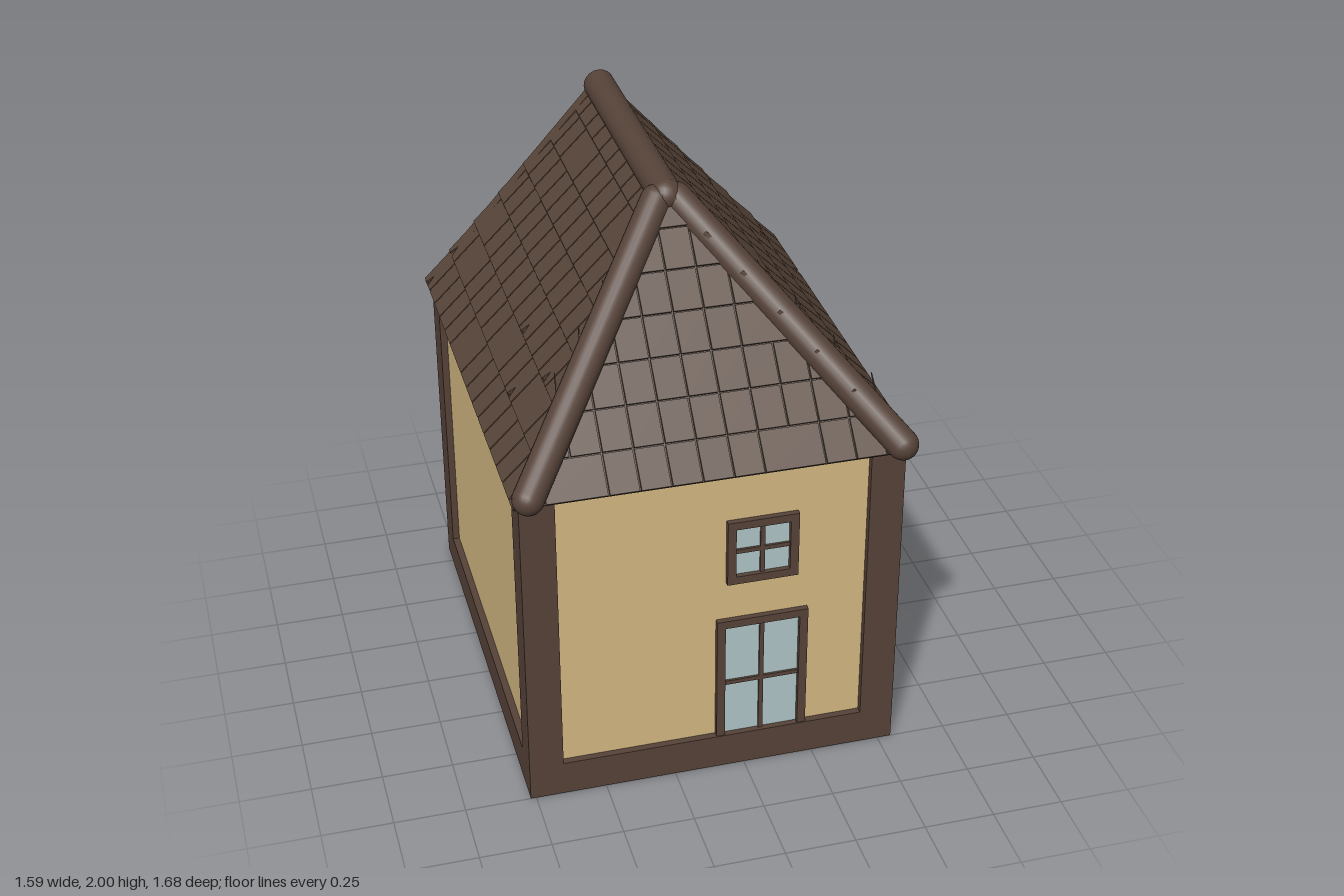
import * as THREE from 'three';
import { mergeGeometries } from 'three/addons/utils/BufferGeometryUtils.js';

const mat = (color) => new THREE.MeshStandardMaterial({ color });
const timber = mat(0x564339), roofMat = mat(0x574438), plaster = mat(0xd4b983);
const glassMat = mat(0xb0c6c8), doorMat = mat(0x3f300f), stepMat = mat(0x735724);
roofMat.side = THREE.DoubleSide;

function add(parent, name, geometry, material) {
  const mesh = new THREE.Mesh(geometry, material);
  mesh.name = name;
  parent.add(mesh);
  return mesh;
}

// Box given by its limits on each axis
function box(parent, name, material, [x0, x1], [y0, y1], [z0, z1]) {
  const mesh = add(parent, name, new THREE.BoxGeometry(x1 - x0, y1 - y0, z1 - z0), material);
  mesh.position.set((x0 + x1) / 2, (y0 + y1) / 2, (z0 + z1) / 2);
  return mesh;
}

const polygon = (pts) => new THREE.Shape(pts.map(([x, y]) => new THREE.Vector2(x, y)));
const extrude = (shape, depth) => new THREE.ExtrudeGeometry(shape, { depth, bevelEnabled: false });
const rect = (x0, x1, y0, y1) => polygon([[x0, y0], [x1, y0], [x1, y1], [x0, y1]]);

// Small repeatable number source
function seeded(seed) {
  return () => (seed = (seed * 16807) % 2147483647) / 2147483647;
}

// Window facing +z, standing on y = 0, with a frame, glass and crossed bars
function makeWindow(name, w, h, border, bottom, barY) {
  const g = new THREE.Group();
  g.name = name;
  const frame = rect(-w / 2, w / 2, 0, h);
  frame.holes.push(rect(-w / 2 + border, w / 2 - border, bottom, h - border));
  add(g, 'windowFrame', extrude(frame, 0.033), timber);
  box(g, 'glass', glassMat, [-w / 2 + border, w / 2 - border], [bottom, h - border], [0, 0.015]);
  box(g, 'uprightBar', timber, [-0.008, 0.008], [bottom, h - border], [0, 0.023]);
  box(g, 'crossBar', timber, [-w / 2 + border, w / 2 - border], [barY - 0.008, barY + 0.008], [0, 0.023]);
  return g;
}

// Door facing +z with a raised surround and four panels
function makeDoor() {
  const g = new THREE.Group();
  g.name = 'door';
  const w = 0.375, h = 0.515;
  const surround = rect(-w / 2, w / 2, 0, h);
  surround.holes.push(rect(-w / 2 + 0.03, w / 2 - 0.03, 0, h - 0.03));
  add(g, 'doorSurround', extrude(surround, 0.037), doorMat);
  const leaf = rect(-w / 2 + 0.03, w / 2 - 0.03, 0, h - 0.03);
  for (const x of [-0.075, 0.075]) {
    for (const [y0, y1] of [[0.045, 0.185], [0.285, 0.425]]) {
      leaf.holes.push(rect(x - 0.046, x + 0.046, y0, y1));
      box(g, 'doorPanel', doorMat, [x - 0.04, x + 0.04], [y0 + 0.006, y1 - 0.006], [0.01, 0.025]);
    }
  }
  add(g, 'doorLeaf', extrude(leaf, 0.028), doorMat);
  box(g, 'doorBacking', doorMat, [-0.15, 0.15], [0, 0.48], [0, 0.015]);
  return g;
}

// Tiled slope: u runs along the eave, v up the slope, w outwards.
// left(v) and right(v) give the ends of the slope at height v.
function makeSlope(name, origin, uDir, vDir, length, left, right, seed) {
  const rnd = seeded(seed), tiles = [], rows = 7, pitch = 0.105, gap = 0.003;
  const width = right(0), step = length / rows;
  for (let r = 0; r < rows; r++) {
    const v0 = r * step, v1 = v0 + step - 0.004;
    for (let u = 0; u < width - 0.001;) {
      const end = Math.min(u + pitch * (rnd() < 0.88 ? 1 : 2), width);
      const a = u + gap, b = end - gap;
      const a0 = Math.max(a, left(v0)), b0 = Math.min(b, right(v0));
      u = end;
      if (b0 - a0 < 0.005) continue;
      const a1 = Math.min(Math.max(a, left(v1)), b0), b1 = Math.max(Math.min(b, right(v1)), a0);
      const pts = [[a0, v0]];
      // An occasional chip in the lower edge
      if (rnd() < 0.06 && b0 - a0 > 0.08) {
        const m = a0 + (b0 - a0) * (0.35 + 0.3 * rnd());
        pts.push([m - 0.016, v0], [m, v0 + 0.04], [m + 0.016, v0]);
      }
      pts.push([b0, v0]);
      if (b1 > a1) pts.push([b1, v1], [a1, v1]);
      else pts.push([(a1 + b1) / 2, v1]);
      const geo = extrude(polygon(pts), 0.014);
      // Tilt each tile so its lower edge stands proud of the row beneath
      const p = geo.attributes.position;
      for (let i = 0; i < p.count; i++) {
        p.setZ(i, p.getZ(i) - 0.016 + 0.007 * (1 - (p.getY(i) - v0) / step));
      }
      geo.computeVertexNormals();
      tiles.push(geo);
    }
  }
  const g = new THREE.Group();
  g.name = name;
  add(g, 'roofTiles', mergeGeometries(tiles), roofMat);
  const deck = polygon([[0, 0], [width, 0], [right(length), length], [left(length), length]]);
  add(g, 'roofDeck', extrude(deck, 0.01), roofMat).position.z = -0.02;
  g.matrix.makeBasis(uDir, vDir, uDir.clone().cross(vDir)).setPosition(origin);
  g.matrix.decompose(g.position, g.quaternion, g.scale);
  return g;
}

// Rounded pole between two points
function pole(parent, name, a, b, radius) {
  const dir = b.clone().sub(a);
  const mesh = add(parent, name, new THREE.CapsuleGeometry(radius, dir.length(), 8, 20), timber);
  mesh.position.copy(a).add(b).multiplyScalar(0.5);
  mesh.quaternion.setFromUnitVectors(new THREE.Vector3(0, 1, 0), dir.normalize());
}

export function createModel() {
  const house = new THREE.Group();
  house.name = 'house';
  const V = (x, y, z) => new THREE.Vector3(x, y, z);
  const cx = -0.11;

  // Plaster walls and the rear wall with its gable
  box(house, 'walls', plaster, [-0.745, 0.525], [0.01, 1.22], [-0.745, 0.725]);
  const gable = polygon([[-0.765, 0.005], [0.545, 0.005], [0.545, 1.23], [cx, 1.955], [-0.765, 1.23]]);
  add(house, 'rearWall', extrude(gable, 0.012), plaster).position.z = -0.755;

  // Timber frame, the same on both sides
  for (const s of [-1, 1]) {
    const span = (inner, outer) => [cx + s * inner, cx + s * outer].sort((a, b) => a - b);
    box(house, 'frontPost', timber, span(0.54, 0.66), [0, 1.23], [0.63, 0.75]);
    box(house, 'rearPost', timber, span(0.654, 0.66), [0, 1.23], [-0.84, -0.745]);
    box(house, 'rearPostInner', timber, span(0.6, 0.66), [0, 1.23], [-0.745, -0.71]);
    box(house, 'sideSill', timber, span(0.54, 0.66), [0, 0.13], [-0.745, 0.63]);
    box(house, 'sideTopBeam', timber, span(0.6, 0.66), [1.16, 1.23], [-0.745, 0.63]);
    box(house, 'eaveBoard', timber, span(0.655, 0.68), [1.22, 1.232], [-0.84, 0.78]);
  }
  box(house, 'frontSill', timber, [-0.65, 0.43], [0, 0.13], [0.63, 0.75]);
  box(house, 'floorBeam', timber, [-0.65, 0.43], [0, 0.1], [0, 0.1]);
  // Eave bracket behind the rear wall
  box(house, 'eaveBracket', timber, [-0.765, -0.66], [1.165, 1.18], [-0.84, -0.815]);
  box(house, 'eaveBracketTip', timber, [-0.672, -0.66], [1.165, 1.24], [-0.84, -0.815]);

  // Windows and door
  const frontWindow = makeWindow('frontWindow', 0.25, 0.25, 0.03, 0.03, 0.125);
  frontWindow.position.set(0.06, 0.77, 0.713);
  const tallWindow = makeWindow('tallWindow', 0.325, 0.49, 0.03, 0, 0.22);
  tallWindow.position.set(0.063, 0.13, 0.713);
  const sideWindow = makeWindow('sideWindow', 0.25, 0.25, 0.03, 0.03, 0.125);
  sideWindow.position.set(0.515, 0.77, -0.315);
  const door = makeDoor();
  door.position.set(0.513, 0.13, -0.285);
  sideWindow.rotation.y = door.rotation.y = Math.PI / 2;
  house.add(frontWindow, tallWindow, sideWindow, door);

  // Steps up to the door
  const stairs = polygon([[0.54, 0], [0.79, 0], [0.79, 0.045], [0.715, 0.045], [0.715, 0.09],
    [0.635, 0.09], [0.635, 0.135], [0.54, 0.135]]);
  add(house, 'doorSteps', extrude(stairs, 0.43), stepMat).position.z = -0.5;

  // Hipped roof: two long sides and the front slope
  const half = 0.683, eave = 1.232, rise = 0.745, hip = 0.67, depth = 1.63;
  const sideLen = Math.hypot(half, rise), frontLen = Math.hypot(hip, rise);
  house.add(
    makeSlope('leftRoof', V(cx + half, eave, 0.79), V(0, 0, -1), V(-half, rise, 0).normalize(),
      sideLen, (v) => hip * v / sideLen, () => depth, 11),
    makeSlope('rightRoof', V(cx - half, eave, 0.79 - depth), V(0, 0, 1), V(half, rise, 0).normalize(),
      sideLen, () => 0, (v) => depth - hip * v / sideLen, 23),
    makeSlope('frontRoof', V(cx - half, eave, 0.79), V(1, 0, 0), V(0, rise, -hip).normalize(),
      frontLen, (v) => half * v / frontLen, (v) => 2 * half - half * v / frontLen, 37));

  // Smooth verge closing the rear edge of the tiles
  const verge = polygon([[cx - half - 0.002, 1.225], [cx - half + 0.028, 1.225], [cx, 1.95],
    [cx + half - 0.028, 1.225], [cx + half + 0.002, 1.225], [cx, 1.985]]);
  add(house, 'rearVerge', extrude(verge, 0.05), roofMat).position.z = -0.84;

  // Ridge and hip poles
  for (const s of [-1, 1]) pole(house, 'hipPole', V(cx + s * 0.632, 1.26, 0.785), V(cx + s * 0.035, 1.93, 0.125), 0.054);
  const ridge = add(house, 'ridgePole', new THREE.CylinderGeometry(0.057, 0.057, 0.96, 20), timber);
  ridge.rotation.x = Math.PI / 2;
  ridge.position.set(cx, 1.943, -0.36);
  add(house, 'ridgeEnd', new THREE.SphereGeometry(0.057, 20, 12), timber).position.set(cx, 1.943, 0.12);
  return house;
}
